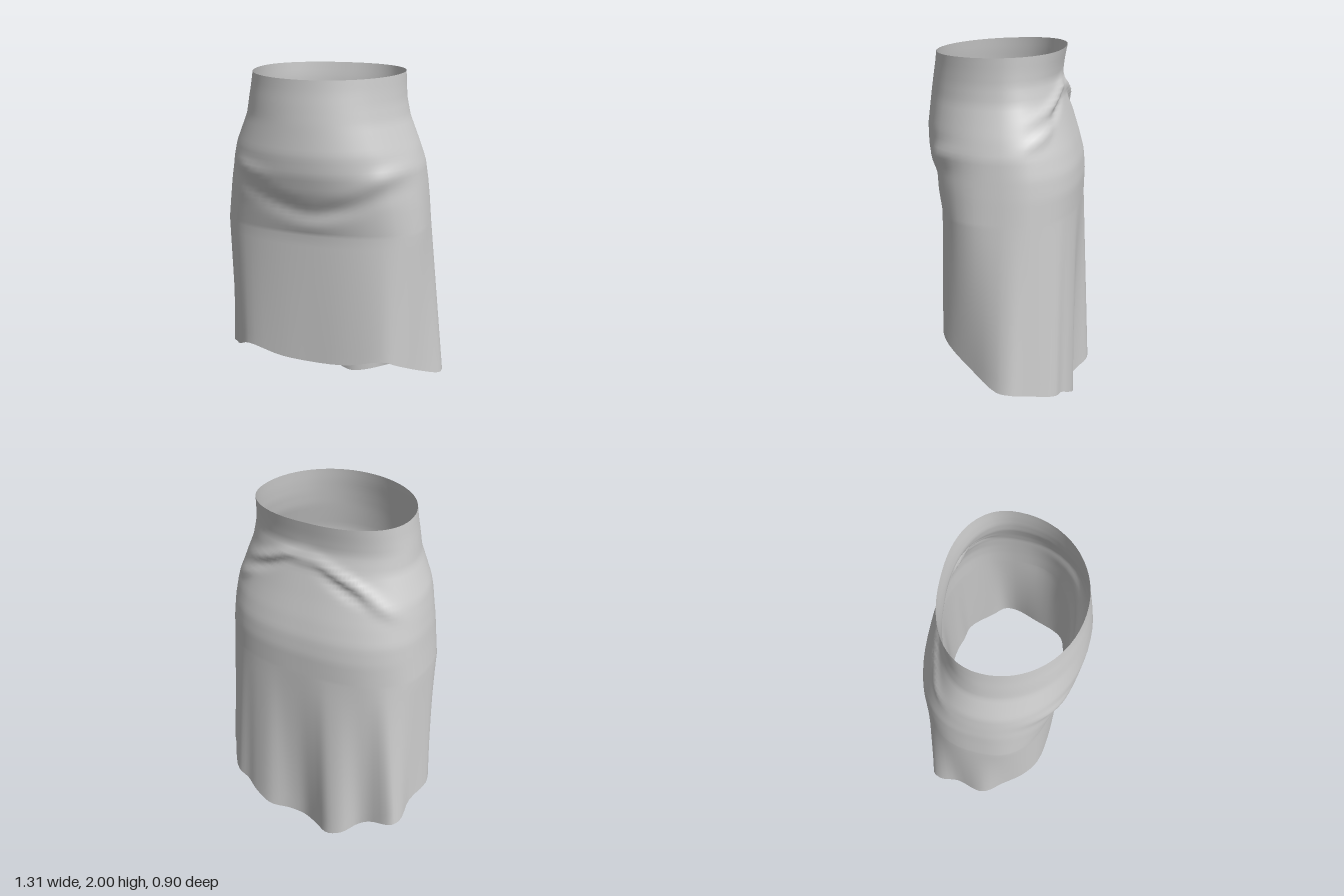
import * as THREE from 'three';

// Hem control points [x, y, z], running left side -> front -> right side -> back
const HEM = [
  [0.65, 0.25, -0.05], [0.57, 0.32, 0.1], [0.47, 0.41, 0.26], [0.4, 0.445, 0.31], [0.2, 0.41, 0.343],
  [0, 0.4, 0.345], [-0.2, 0.41, 0.343], [-0.41, 0.44, 0.31], [-0.5, 0.39, 0.24], [-0.58, 0.34, 0.12],
  [-0.65, 0.29, 0], [-0.605, 0.25, -0.17], [-0.605, 0.2, -0.29], [-0.57, 0.19, -0.345], [-0.43, 0.14, -0.34],
  [-0.36, 0.1, -0.36], [-0.29, 0.06, -0.43], [-0.2, 0.03, -0.45], [-0.1, 0.01, -0.4], [0, 0, -0.36],
  [0.1, 0.015, -0.37], [0.22, 0.045, -0.415], [0.33, 0.1, -0.4], [0.4, 0.14, -0.37], [0.49, 0.165, -0.345],
  [0.6, 0.215, -0.2], [0.65, 0.24, -0.13],
];

// Body sections: [y, right x, left x, front z, back z, front roundness, back roundness]
const BODY = [
  [1.15, 0.605, 0.56, 0.35, 0.402, 2.6, 2.6], [1.3, 0.587, 0.545, 0.385, 0.405, 2.4, 2.6],
  [1.4, 0.577, 0.533, 0.42, 0.395, 2.2, 2.6], [1.5, 0.56, 0.52, 0.445, 0.37, 2.1, 2.5],
  [1.6, 0.54, 0.49, 0.452, 0.34, 2.05, 2.4], [1.76, 0.475, 0.43, 0.435, 0.295, 2, 2.3],
  [1.85, 0.46, 0.412, 0.422, 0.272, 2, 2.3], [1.92, 0.447, 0.405, 0.41, 0.28, 2, 2.3],
  [2.0, 0.435, 0.4, 0.4, 0.295, 2, 2.3],
];

// Cloth creases: [x, y, slope, length, width, depth, side (+1 front, -1 back)]
const CREASES = [
  [-0.2, 1.34, -0.35, 0.2, 0.05, -0.014, 1], [0.18, 1.32, 0.3, 0.2, 0.05, -0.014, 1],
  [0, 1.22, 0, 0.16, 0.06, 0.012, 1], [-0.36, 1.5, -0.2, 0.12, 0.04, 0.012, 1],
  [0.38, 1.48, 0.3, 0.1, 0.05, 0.014, 1],
  [-0.2, 1.74, 0.45, 0.14, 0.025, 0.022, -1], [-0.24, 1.67, 0.45, 0.12, 0.025, -0.018, -1],
  [0.2, 1.76, -0.4, 0.14, 0.025, 0.022, -1], [0.25, 1.69, -0.5, 0.12, 0.025, -0.018, -1],
  [0.02, 1.8, 0.1, 0.14, 0.025, 0.015, -1], [0.36, 1.62, -0.6, 0.1, 0.03, 0.018, -1],
  [-0.38, 1.62, 0.6, 0.1, 0.03, 0.018, -1],
];

const COLUMNS = 96, LOWER = 12, UPPER = 36, JOIN = 1.15;
const lerp = THREE.MathUtils.lerp;

function sectionAt(y) {
  let i = 0;
  while (i < BODY.length - 2 && y > BODY[i + 1][0]) i++;
  const t = (y - BODY[i][0]) / (BODY[i + 1][0] - BODY[i][0]);
  return BODY[i].map((v, k) => lerp(v, BODY[i + 1][k], t));
}

// Point on the body at a given direction and height
function bodyPoint(angle, y) {
  const [, right, left, front, back, nf, nb] = sectionAt(y);
  const c = Math.cos(angle), s = Math.sin(angle);
  const n = s > 0 ? nf : nb;
  const r = 1 / Math.pow(Math.abs(c) ** n + Math.abs(s) ** n, 1 / n);
  const x = r * c * (c > 0 ? left : right);
  const z = r * s * (s > 0 ? front : back);
  let push = 0;
  for (const [cx, cy, slope, len, width, depth, side] of CREASES) {
    if (z * side <= 0) continue;
    const dx = x - cx, dy = y - cy - slope * dx;
    push += depth * Math.exp(-((dx / len) ** 2) - (dy / width) ** 2) * Math.min(1, Math.abs(s) * 2);
  }
  return new THREE.Vector3(x + push * c, y, z + push * s);
}

function skirtGeometry() {
  const hem = new THREE.CatmullRomCurve3(HEM.map((p) => new THREE.Vector3(...p)), true, 'centripetal');
  const rows = LOWER + UPPER;
  const pos = [], index = [];
  for (let j = 0; j <= rows; j++) {
    for (let i = 0; i < COLUMNS; i++) {
      const h = hem.getPoint(i / COLUMNS);
      const angle = Math.atan2(h.z / 0.39, h.x / 0.64);
      let p;
      if (j < LOWER) {
        // Hanging cloth: pleats fade from the hem up to the hips
        p = h.clone().lerp(bodyPoint(angle, JOIN), j / LOWER);
      } else {
        // Hips to waistband, whose rim is slightly lower at the front
        const rim = 1.99 - 0.012 * Math.sin(angle);
        p = bodyPoint(angle, lerp(JOIN, rim, (j - LOWER) / UPPER));
      }
      pos.push(p.x, Math.max(0, p.y), p.z);
      if (j < rows) {
        const a = j * COLUMNS + i, b = j * COLUMNS + ((i + 1) % COLUMNS);
        index.push(a, a + COLUMNS, b, b, a + COLUMNS, b + COLUMNS);
      }
    }
  }
  const geo = new THREE.BufferGeometry();
  geo.setAttribute('position', new THREE.Float32BufferAttribute(pos, 3));
  geo.setIndex(index);
  geo.computeVertexNormals();
  return geo;
}

export function createModel() {
  const group = new THREE.Group();
  group.name = 'garment';
  const cloth = new THREE.MeshStandardMaterial({ color: 0xcccccc, side: THREE.DoubleSide });
  const skirt = new THREE.Mesh(skirtGeometry(), cloth);
  skirt.name = 'skirt';
  group.add(skirt);
  return group;
}
